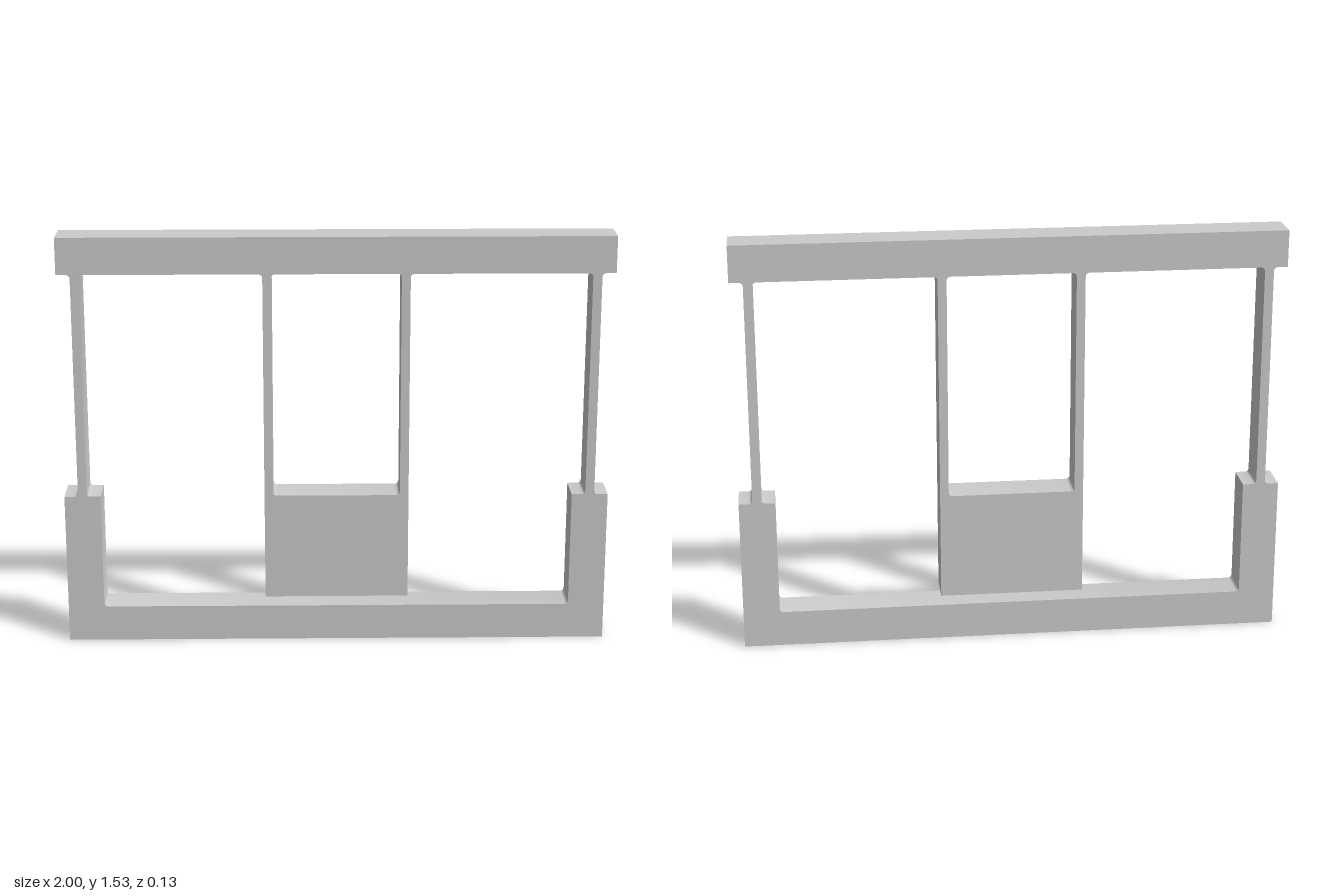
import * as THREE from 'three';
import { toCreasedNormals } from 'three/addons/utils/BufferGeometryUtils.js';

const DEPTH = 0.134;
const FILLET = 0.014;

// Heights
const TOP = 1.535, BEAM = 1.4, STEP = 0.567, BLOCK = 0.17, SILL = 0.133;
// Half-widths, from the outside in
const SIDE = 1, FLEX_OUT = 0.95, FLEX_IN = 0.917, POST_IN = 0.867;
const BLOCK_OUT = 0.265, WINDOW = 0.233;

// Closed outline from the right half [x, y, filleted], mirrored to the left
function mirroredOutline(half, path) {
  const pts = [...half, ...half.map(([x, y, f]) => [-x, y, f]).reverse()]
    .map(([x, y, f]) => ({ p: new THREE.Vector2(x, y), f }));
  const n = pts.length;
  pts.forEach(({ p, f }, i) => {
    const toward = (q) => q.clone().sub(p).setLength(FILLET).add(p);
    const a = f ? toward(pts[(i + n - 1) % n].p) : p;
    if (i === 0) path.moveTo(a.x, a.y);
    else path.lineTo(a.x, a.y);
    if (f) {
      const b = toward(pts[(i + 1) % n].p);
      // Cubic handles that approximate a quarter circle
      const h1 = a.clone().lerp(p, 0.552), h2 = b.clone().lerp(p, 0.552);
      path.bezierCurveTo(h1.x, h1.y, h2.x, h2.y, b.x, b.y);
    }
  });
  path.closePath();
  return path;
}

export function createModel() {
  const group = new THREE.Group();
  group.name = 'flexureFrame';

  // Outer outline: base, side posts, thin side strips and top beam
  const shape = mirroredOutline([
    [SIDE, 0], [SIDE, STEP], [FLEX_OUT, STEP, true],
    [FLEX_OUT, BEAM, true], [SIDE, BEAM], [SIDE, TOP],
  ], new THREE.Shape());

  // Opening that runs around and beneath the hanging block
  shape.holes.push(mirroredOutline([
    [POST_IN, SILL, true], [POST_IN, STEP], [FLEX_IN, STEP, true],
    [FLEX_IN, BEAM, true], [BLOCK_OUT, BEAM, true], [BLOCK_OUT, BLOCK],
  ], new THREE.Path()));

  // Window between the two centre strips
  shape.holes.push(mirroredOutline([
    [WINDOW, STEP, true], [WINDOW, BEAM, true],
  ], new THREE.Path()));

  const geometry = new THREE.ExtrudeGeometry(shape, {
    depth: DEPTH, bevelEnabled: false, curveSegments: 5,
  });
  geometry.translate(0, 0, -DEPTH / 2);

  const frame = new THREE.Mesh(
    toCreasedNormals(geometry, 0.5),
    new THREE.MeshStandardMaterial({ color: 0xcccccc }),
  );
  frame.name = 'frame';
  group.add(frame);
  return group;
}
